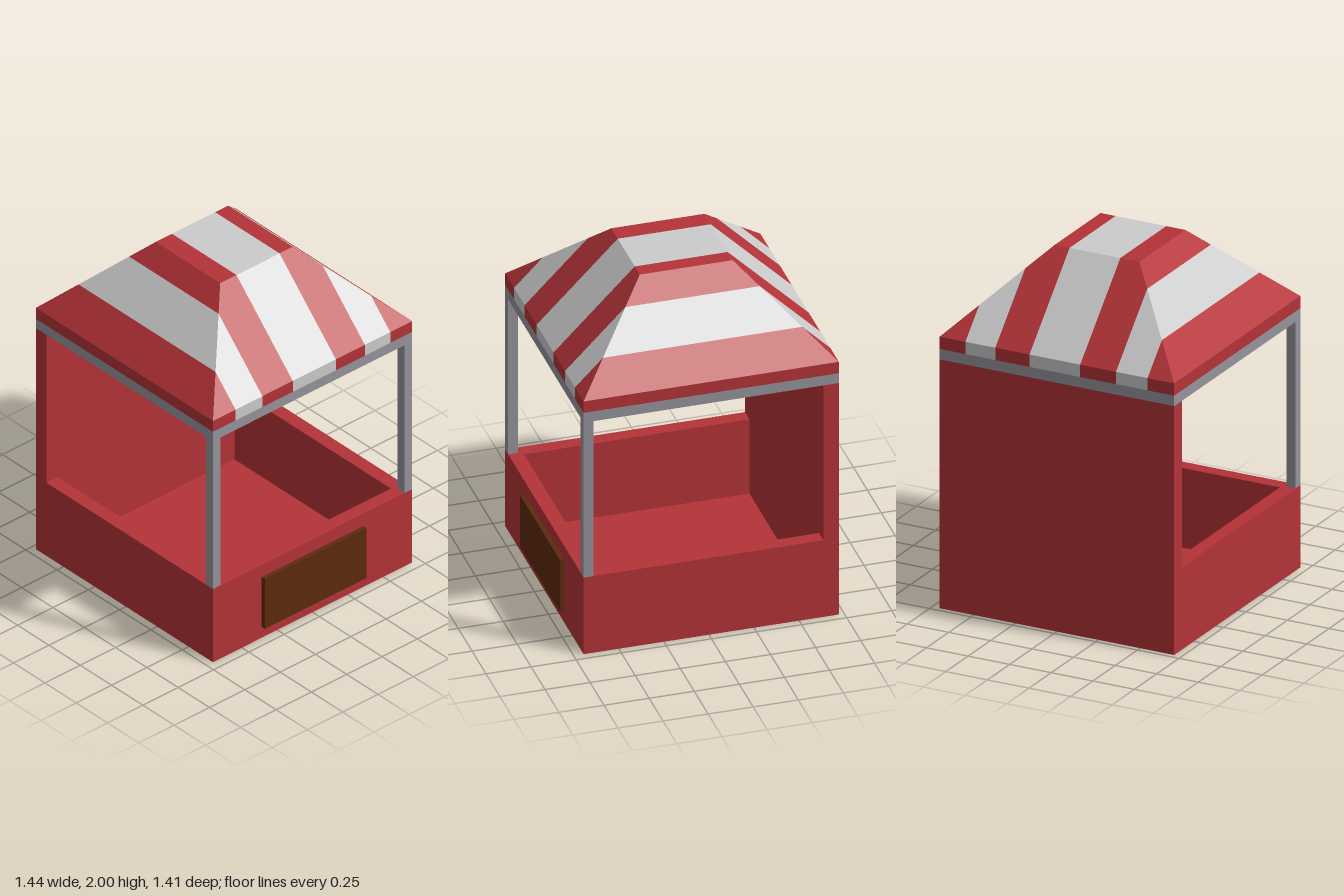
import * as THREE from 'three';

const X0 = -0.72, X1 = 0.695, Z = 0.705; // footprint
const paint = (color) => new THREE.MeshStandardMaterial({ color, flatShading: true, side: THREE.DoubleSide });
const red = paint(0xb43338), pale = paint(0xcccccc), metal = paint(0x96949c), brown = paint(0x5e2a0e);

function add(group, name, geometry, material) {
  const mesh = new THREE.Mesh(geometry, material);
  mesh.name = name;
  group.add(mesh);
}

// Box given by its limits on each axis
function block(x0, x1, y0, y1, z0, z1) {
  return new THREE.BoxGeometry(x1 - x0, y1 - y0, z1 - z0)
    .translate((x0 + x1) / 2, (y0 + y1) / 2, (z0 + z1) / 2);
}

// Rectangular ring over the footprint, with wall thickness t (and tLeft on the -x side)
function ring(t, tLeft, y0, y1) {
  const rect = (path, x0, x1, z) =>
    path.moveTo(x0, -z).lineTo(x1, -z).lineTo(x1, z).lineTo(x0, z).closePath();
  const shape = new THREE.Shape(), hole = new THREE.Path();
  rect(shape, X0, X1, Z);
  rect(hole, X0 + tLeft, X1 - t, Z - t);
  shape.holes.push(hole);
  return new THREE.ExtrudeGeometry(shape, { depth: y1 - y0, bevelEnabled: false })
    .rotateX(-Math.PI / 2).translate(0, y0, 0);
}

// Surface from quads, each listed counter-clockwise from outside
function quads(list) {
  const pos = [];
  for (const [a, b, c, d] of list) pos.push(...a, ...b, ...c, ...a, ...c, ...d);
  const g = new THREE.BufferGeometry();
  g.setAttribute('position', new THREE.Float32BufferAttribute(pos, 3));
  g.computeVertexNormals();
  return g;
}

// Canopy outline at depth z: skirt, slope, flat top, slope, skirt
function section(z) {
  const h = Math.min(0.45, Z - Math.abs(z)), low = 1.48, eave = 1.55;
  return [[X0, low, z], [X0, eave, z], [X0 + h, eave + h, z],
    [X1 - h, eave + h, z], [X1, eave, z], [X1, low, z]];
}

function createCanopy() {
  const canopy = new THREE.Group();
  canopy.name = 'canopy';
  // Stripes run across the roof, each cut where the slope meets the flat top
  const cuts = [-Z, -0.55, -0.37, -0.165, 0.14, 0.355, 0.545, Z];
  for (let i = 0; i < cuts.length - 1; i++) {
    const zs = [cuts[i], ...[-0.255, 0.255].filter((z) => z > cuts[i] && z < cuts[i + 1]), cuts[i + 1]];
    const faces = [];
    for (let k = 0; k < zs.length - 1; k++) {
      const a = section(zs[k]), b = section(zs[k + 1]);
      for (let j = 0; j < 5; j++) faces.push([a[j], b[j], b[j + 1], a[j + 1]]);
    }
    add(canopy, 'canopyStripe', quads(faces), i % 2 ? pale : red);
  }
  // Front and back skirts
  const f = section(Z), b = section(-Z);
  add(canopy, 'canopySkirt', quads([[f[0], f[5], f[4], f[1]], [b[5], b[0], b[1], b[4]]]), red);
  return canopy;
}

export function createModel() {
  const stall = new THREE.Group();
  stall.name = 'marketStall';

  // Tub-shaped counter with a thin floor and one full-height side wall
  add(stall, 'counter', ring(0.08, 0.085, 0, 0.47), red);
  add(stall, 'floor', block(X0 + 0.085, X1 - 0.08, 0, 0.015, -Z + 0.08, Z - 0.08), red);
  add(stall, 'sideWall', block(X0, X0 + 0.085, 0.47, 1.42, -Z, Z), red);

  // Metal frame
  for (const s of [-1, 1]) {
    const z = s * (Z - 0.0275);
    add(stall, 'post', block(X1 - 0.055, X1, 0.47, 1.42, z - 0.0275, z + 0.0275), metal);
  }
  add(stall, 'topFrame', ring(0.055, 0.055, 1.42, 1.48), metal);

  // Board on the outside of the counter
  add(stall, 'signBoard', block(X1, 0.72, 0.07, 0.39, -0.36, 0.36), brown);

  stall.add(createCanopy());
  return stall;
}
